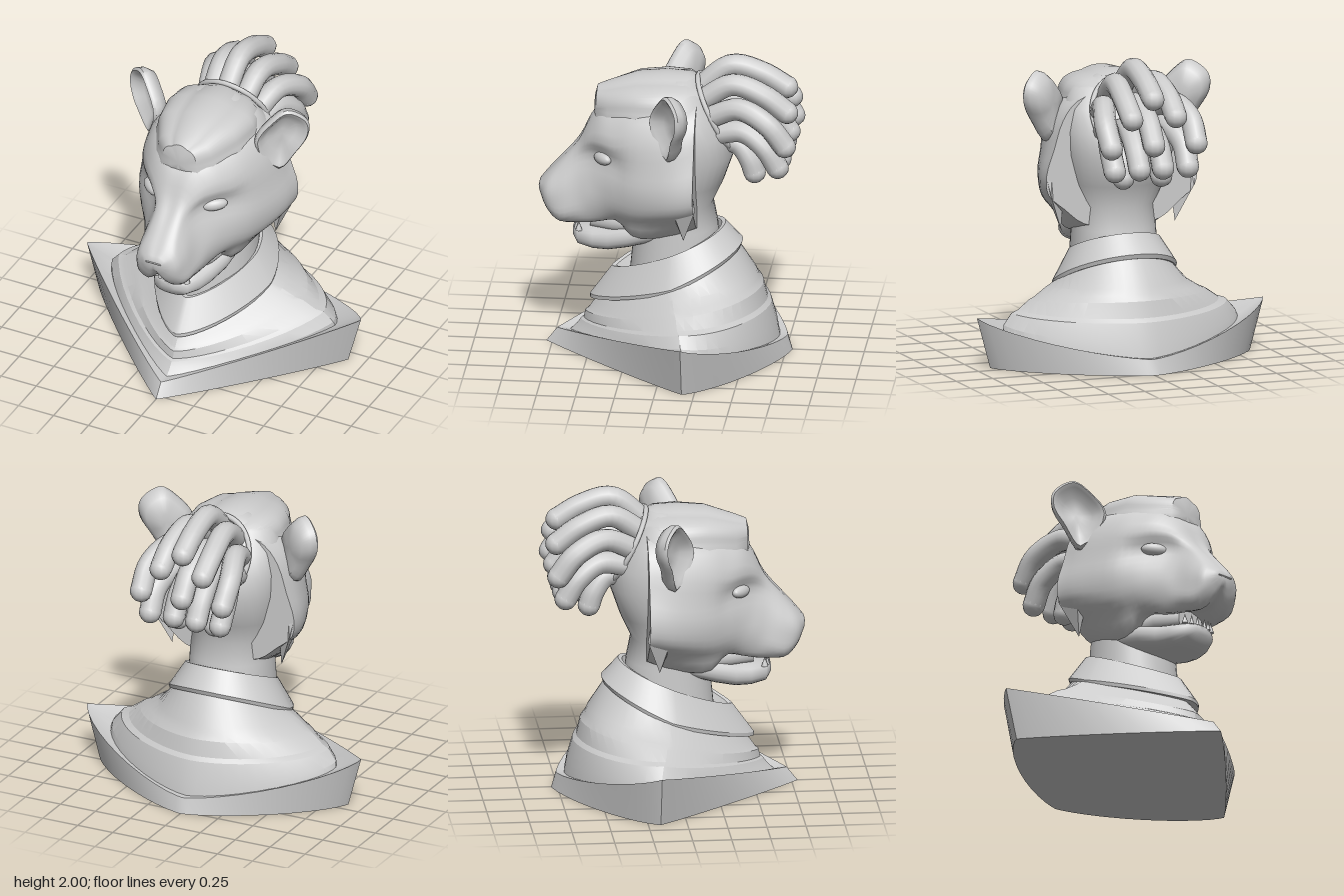
import * as THREE from 'three';
import { toCreasedNormals } from 'three/addons/utils/BufferGeometryUtils.js';
import { ConvexGeometry } from 'three/addons/geometries/ConvexGeometry.js';

const V = (x, y, z) => new THREE.Vector3(x, y, z);
const material = new THREE.MeshStandardMaterial({ color: 0xcccccc });

function add(parent, name, geometry) {
  const mesh = new THREE.Mesh(geometry, material);
  mesh.name = name;
  parent.add(mesh);
  return mesh;
}

// Skin a stack of closed rings, cap both ends and turn the faces outward
function loft(rings, crease = 0.7) {
  const n = rings[0].length, pts = rings.flat(), idx = [];
  for (let i = 0; i < rings.length - 1; i++)
    for (let j = 0; j < n; j++) {
      const a = i * n + j, b = i * n + (j + 1) % n;
      idx.push(a, b, a + n, b, b + n, a + n);
    }
  [0, rings.length - 1].forEach((r, end) => {
    const c = pts.length;
    pts.push(rings[r].reduce((s, p) => s.add(p), V(0, 0, 0)).divideScalar(n));
    for (let j = 0; j < n; j++) {
      const a = r * n + j, b = r * n + (j + 1) % n;
      idx.push(c, ...(end ? [a, b] : [b, a]));
    }
  });
  let volume = 0;
  for (let i = 0; i < idx.length; i += 3)
    volume += pts[idx[i]].dot(V(0, 0, 0).crossVectors(pts[idx[i + 1]], pts[idx[i + 2]]));
  if (volume < 0) idx.reverse();
  const geometry = new THREE.BufferGeometry().setFromPoints(pts);
  geometry.setIndex(idx);
  return toCreasedNormals(geometry, crease);
}

// Garment ring: front, side and back reach, then the height at each of them
function ring([f, s, b, yf, ys, yb], zc, eFront, eBack, n = 48) {
  return Array.from({ length: n }, (_, i) => {
    const t = i / n * Math.PI * 2, c = Math.cos(t), q = Math.sin(t), front = c >= 0;
    const e = front ? eFront : eBack;
    const u = Math.abs(c) < 1e-6 ? 0 : Math.abs(c) ** e;
    return V(Math.sign(q) * s * Math.abs(q) ** e, ys + ((front ? yf : yb) - ys) * u,
      zc + ((front ? f : b) - zc) * u);
  });
}

// Oval section across z: superellipse between a top and a bottom height
function oval(z, w, top, bottom, e = 0.8, n = 28) {
  return Array.from({ length: n }, (_, i) => {
    const t = i / n * Math.PI * 2, c = Math.cos(t), s = Math.sin(t);
    return V(w * Math.sign(s) * Math.abs(s) ** e,
      (top + bottom) / 2 + (top - bottom) / 2 * Math.sign(c) * Math.abs(c) ** e, z);
  });
}

// Face sections: z, top, bottom, then x,y pairs down the side (bridge, brow, eye, cheek, mid, low, lip)
const muzzle = [
  [.83, 1.10, 1.03, .03, 1.10, .05, 1.09, .06, 1.08, .06, 1.06, .055, 1.05, .045, 1.04, .02, 1.03],
  [.78, 1.16, .97, .05, 1.16, .09, 1.14, .12, 1.11, .14, 1.06, .14, 1.01, .12, .96, .06, .93],
  [.70, 1.25, .92, .05, 1.25, .09, 1.23, .12, 1.19, .16, 1.10, .175, 1.0, .17, .91, .10, .86],
  [.58, 1.385, .92, .06, 1.39, .10, 1.36, .12, 1.30, .165, 1.18, .195, 1.05, .20, .94, .15, .87],
  [.50, 1.55, .94, .09, 1.54, .18, 1.44, .15, 1.34, .20, 1.20, .23, 1.07, .215, .95, .17, .88],
];
const cranium = [
  [.42, 1.63, .95, .15, 1.62, .26, 1.46, .21, 1.35, .26, 1.20, .27, 1.07, .24, .96, .19, .90],
  [.32, 1.67, .95, .22, 1.64, .33, 1.46, .30, 1.34, .34, 1.20, .33, 1.05, .27, .95, .22, .92],
  [.20, 1.70, .78, .28, 1.66, .38, 1.50, .40, 1.33, .42, 1.18, .39, 1.03, .32, .93, .25, .82],
  [-.04, 1.76, .78, .32, 1.69, .42, 1.55, .47, 1.35, .50, 1.20, .48, 1.07, .38, .96, .26, .84],
  [-.20, 1.78, .86, .30, 1.70, .40, 1.58, .46, 1.40, .515, 1.22, .50, 1.10, .39, 1.0, .26, .90],
];

function faceGeometry() {
  const sections = [...muzzle, ...cranium].map(([z, top, bottom, ...side]) => {
    const half = [];
    for (let i = 0; i < side.length; i += 2) half.push(V(side[i], side[i + 1], z));
    const other = half.map(p => V(-p.x, p.y, z)).reverse();
    return [V(0, top, z), ...half, V(0, bottom, z), ...other];
  });
  const rails = sections[0].map((_, j) => new THREE.CatmullRomCurve3(sections.map(s => s[j])));
  const rings = [];
  for (let i = 0; i <= 30; i++) {
    const loop = new THREE.CatmullRomCurve3(rails.map(r => r.getPoint(i / 30)), true);
    rings.push(Array.from({ length: 48 }, (_, j) => loop.getPoint(j / 48)));
  }
  return loft(rings, 0.9);
}

// Swept-back hair with ridged strands: z, half width, top, bottom
function hairGeometry() {
  const stations = [[.475, .06, 1.70, 1.60], [.46, .13, 1.76, 1.58], [.38, .21, 1.79, 1.58],
    [.2, .31, 1.85, 1.6], [.02, .345, 1.865, 1.6], [-.12, .32, 1.86, 1.6], [-.22, .22, 1.82, 1.6]];
  return loft(stations.map(([z, w, top, bottom]) => Array.from({ length: 72 }, (_, i) => {
    const t = i / 72 * Math.PI * 2, c = Math.cos(t), s = Math.sin(t);
    const k = c > 0 ? 0.94 + 0.06 * Math.abs(Math.cos(t * 3.5)) : 1;
    return V(w * k * s, bottom + (c > 0 ? (top - bottom) * k * c ** 0.7 : 0.03 * c), z);
  })), 0.6);
}

// Cupped ear opening forward and outward
function earGeometry(s) {
  const outline = new THREE.CatmullRomCurve3([[.35, 1.66], [.44, 1.82], [.52, 1.885], [.60, 1.84], [.635, 1.78],
    [.63, 1.68], [.56, 1.55], [.46, 1.42]].map(([x, y]) => V(x, y, 0)), true);
  const layers = [[.3, -.11], [.8, -.09], [.97, -.04], [1, 0], [.92, .015], [.8, 0], [.55, -.05], [.2, -.06]];
  return loft(layers.map(([k, d]) => Array.from({ length: 32 }, (_, j) => {
    const p = outline.getPoint(j / 32), x = .5 + (p.x - .5) * k, y = 1.67 + (p.y - 1.67) * k;
    const z = .08 - .72 * (x - .36) - .25 * Math.max(0, 1.6 - y);
    return V(s * (x + d * .6), y, z + d * .8);
  })), 0.9);
}

export function createModel() {
  const model = new THREE.Group();
  model.name = 'bust';

  // Pointed base with a flared rim
  add(model, 'base', loft([
    ring([.79, .89, -.79, 0, 0, 0], -.17, 1.9, 1.5),
    ring([.72, .98, -.76, .09, .33, .10], -.17, 1.9, 1.5),
    ring([.69, .95, -.74, .09, .31, .10], -.17, 1.9, 1.5),
    ring([.60, .76, -.66, .08, .22, .09], -.17, 1.8, 1.4)], 0.5));

  // Layered mantle
  add(model, 'mantle', loft([
    [.64, .80, -.71, .08, .23, .09], [.59, .79, -.69, .13, .27, .20], [.57, .73, -.655, .16, .34, .32],
    [.55, .68, -.63, .17, .355, .345], [.54, .60, -.605, .22, .41, .45], [.52, .55, -.575, .235, .43, .49],
    [.49, .47, -.56, .28, .48, .53], [.44, .39, -.45, .34, .52, .70]]
    .map((r, i) => ring(r, -.17 + i * .017, 1.6 - i * .02, 1.25 - i * .03)), 0.35));

  // Standing collar, pointed at the front
  add(model, 'collar', loft([
    [.45, .36, -.42, .33, .50, .69], [.51, .40, -.46, .31, .50, .70], [.51, .405, -.47, .335, .525, .73],
    [.37, .30, -.36, .53, .72, .85], [.34, .28, -.335, .53, .71, .84], [.28, .26, -.30, .45, .60, .70]]
    .map(r => ring(r, -.05, 1.4, 1)), 0.5));

  // Neck and back of the skull: y, half width, front, back
  add(model, 'neckAndSkull', loft([
    [.45, .28, .26, -.32], [.65, .28, .24, -.33], [.85, .27, .22, -.31], [1.0, .27, .2, -.28],
    [1.15, .32, .2, -.35], [1.35, .36, .2, -.42], [1.5, .37, .2, -.40], [1.65, .35, .15, -.33],
    [1.77, .28, .1, -.23], [1.84, .12, .0, -.17]]
    .map(([y, w, f, b]) => ring([f, w, b, y, y, y], (f + b) / 2, 1, .9, 32)), 1));

  const head = new THREE.Group();
  head.name = 'head';
  model.add(head);
  add(head, 'face', faceGeometry());
  add(head, 'hair', hairGeometry());
  add(head, 'lowerJaw', loft([[.615, .05, .80, .74], [.58, .12, .82, .69], [.48, .17, .835, .67],
    [.38, .2, .855, .67], [.25, .24, .90, .70], [.08, .25, .93, .75]].map(s => oval(...s)), 0.9));
  add(head, 'innerMouth', loft([[.5, .1, .94, .8], [.35, .19, .96, .8], [.2, .22, .96, .8]].map(s => oval(...s))));
  const nose = [V(0, 1.0, .785), V(0, 1.125, .76)];
  for (const s of [1, -1])
    nose.push(V(s * .13, 1.08, .75), V(s * .05, 1.105, .80), V(s * .05, 1.075, .835), V(s * .1, 1.035, .79));
  add(head, 'nose', new ConvexGeometry(nose));

  for (const s of [1, -1]) {
    const side = s > 0 ? 'left' : 'right';
    add(head, side + 'Ear', earGeometry(s));
    const eye = add(head, side + 'Eye', new THREE.SphereGeometry(1, 20, 12));
    eye.scale.set(.085, .042, .04);
    eye.position.set(s * .225, 1.34, .405);
    eye.rotation.set(0, s * .65, s * .08);
    // Pointed tuft hanging behind the cheek
    add(head, side + 'CheekTuft', new ConvexGeometry([[.51, 1.2, -.2], [.485, 1.15, -.05], [.40, 1.04, -.06],
      [.39, .86, -.13], [.37, 1.05, -.12], [.45, 1.42, -.16], [.49, 1.1, -.215]]
      .map(([x, y, z]) => V(s * x, y, z))));
    // Teeth
    for (const [x, z, r] of [[.03, .6, .014], [.07, .59, .016], [.11, .57, .022]]) {
      const tooth = add(head, side + 'Tooth', new THREE.ConeGeometry(r, .07, 8));
      tooth.position.set(s * x, .835, z);
    }
  }

  // Band that gathers the hair
  const band = add(model, 'hairBand', new THREE.TorusGeometry(1, .07, 8, 40));
  band.position.set(0, 1.61, -.305);
  band.rotation.x = -Math.atan2(.24, .47);
  band.rotation.x = Math.atan2(.24, .47);
  band.scale.set(.24, .265, .24);

  // Thick locks in rows: start x and end x of each, then the shared z,y path
  const locks = new THREE.Group();
  locks.name = 'locks';
  model.add(locks);
  const rows = [
    [[[0, 0]], [[-.2, 1.77], [-.4, 1.925], [-.6, 1.88], [-.755, 1.79]]],
    [[[.11, .15], [-.11, -.15]], [[-.22, 1.72], [-.42, 1.84], [-.62, 1.78], [-.77, 1.67]]],
    [[[0, 0], [.17, .29], [-.17, -.29]], [[-.26, 1.62], [-.47, 1.71], [-.66, 1.63], [-.77, 1.49]]],
    [[[.06, .08], [-.06, -.08], [.17, .25], [-.17, -.25]], [[-.32, 1.52], [-.5, 1.55], [-.64, 1.46], [-.72, 1.33]]],
    [[[.09, .13], [-.09, -.13]], [[-.36, 1.45], [-.46, 1.43], [-.53, 1.34], [-.56, 1.25]]],
  ];
  for (const [ends, path] of rows)
    for (const [x0, x1] of ends) {
      const curve = new THREE.CatmullRomCurve3(path.map(([z, y], i) =>
        V(x0 + (x1 - x0) * Math.min(1, i / 2), y, z)));
      add(locks, 'lock', new THREE.TubeGeometry(curve, 16, .072, 12));
      add(locks, 'lockTip', new THREE.SphereGeometry(.072, 12, 10)).position.copy(curve.getPoint(1));
    }
  return model;
}
